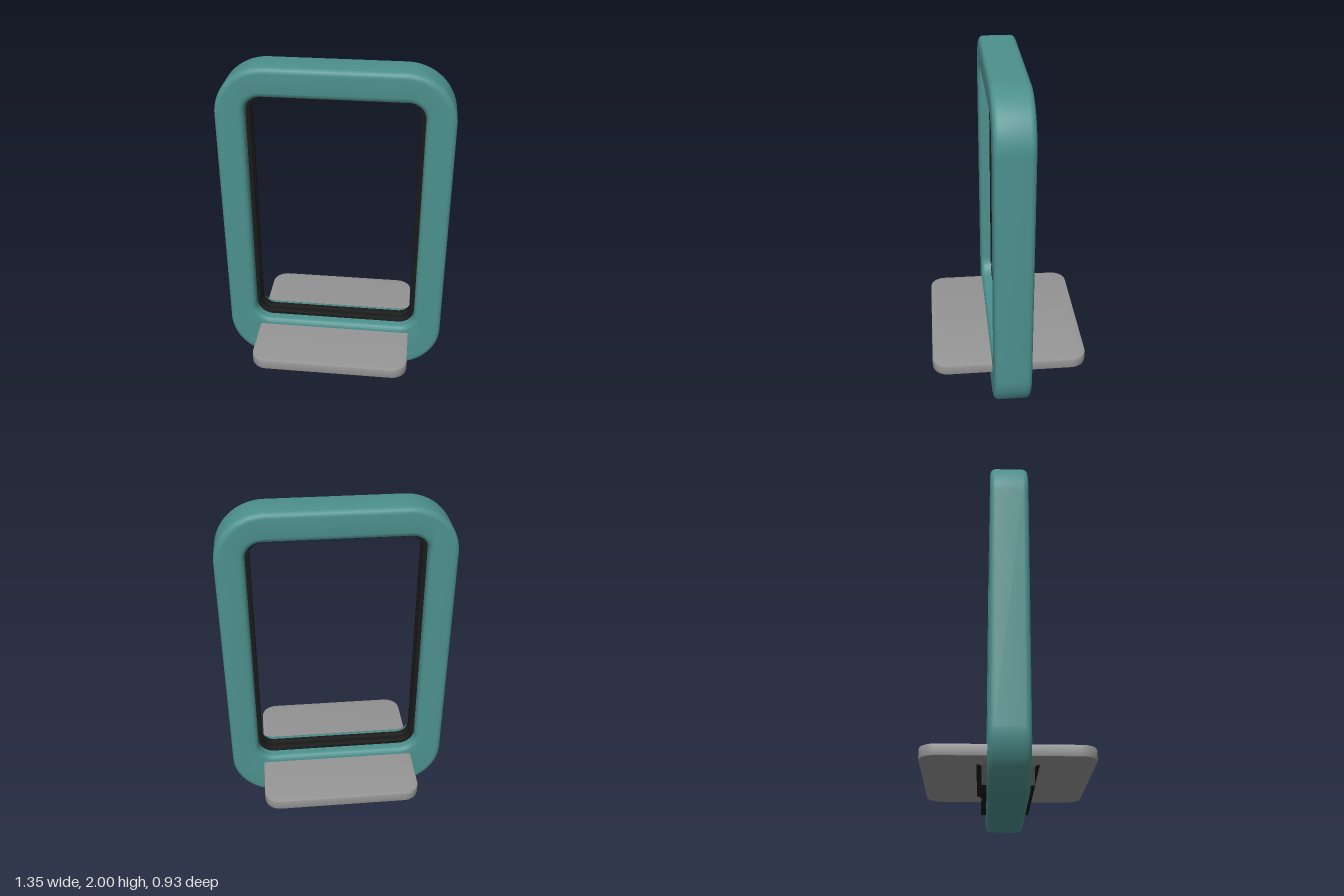
import * as THREE from 'three';
import { toCreasedNormals } from 'three/addons/utils/BufferGeometryUtils.js';

// Traces a rounded rectangle centred on (0, cy) into a Shape or Path
function roundedRect(path, halfW, halfH, r, cy = 0) {
  const arcs = [[1, 1, 0], [-1, 1, 1], [-1, -1, 2], [1, -1, 3]];
  for (const [sx, sy, q] of arcs) {
    path.absarc(sx * (halfW - r), cy + sy * (halfH - r), r, q * Math.PI / 2, (q + 1) * Math.PI / 2, false);
  }
  path.closePath();
  return path;
}

// Extrudes a shape to a total depth centred on z = 0, with rounded edges
function slab(shape, depth, bevel, segments = 4) {
  const geo = new THREE.ExtrudeGeometry(shape, {
    depth: depth - 2 * bevel, bevelEnabled: true, bevelThickness: bevel, bevelSize: bevel,
    bevelOffset: -bevel, bevelSegments: segments, curveSegments: 14,
  });
  geo.translate(0, 0, -depth / 2 + bevel);
  return toCreasedNormals(geo, 0.6);
}

export function createModel() {
  const group = new THREE.Group();
  const teal = new THREE.MeshStandardMaterial({ color: 0x4c908d });
  const grey = new THREE.MeshStandardMaterial({ color: 0x959595 });
  const black = new THREE.MeshStandardMaterial({ color: 0x1a1a1a });
  teal.name = 'teal';
  grey.name = 'grey';
  black.name = 'black';

  const add = (name, geo, mat) => {
    const mesh = new THREE.Mesh(geo, mat);
    mesh.name = name;
    group.add(mesh);
    return mesh;
  };

  // Thick frame with a rounded opening
  const frame = roundedRect(new THREE.Shape(), 0.674, 1, 0.29, 1);
  frame.holes.push(roundedRect(new THREE.Path(), 0.505, 0.762, 0.1, 1.065));
  add('frame', slab(frame, 0.22, 0.032, 5), teal);

  // Pair of seal ridges joined by a lower groove, lining the opening
  const ring = (halfW, halfH, r) => {
    const s = roundedRect(new THREE.Shape(), 0.515, 0.772, 0.11, 1.065);
    s.holes.push(roundedRect(new THREE.Path(), halfW, halfH, r, 1.065));
    return s;
  };
  for (const side of [1, -1]) {
    add(side > 0 ? 'frontSeal' : 'backSeal', slab(ring(0.48, 0.739, 0.078), 0.036, 0.004, 2), black)
      .position.z = side * 0.027;
  }
  add('sealGroove', slab(ring(0.492, 0.75, 0.088), 0.03, 0.002, 1), black);

  // Shelf passing through the bottom of the frame
  const shelf = slab(roundedRect(new THREE.Shape(), 0.477, 0.467, 0.095), 0.065, 0.006, 2);
  shelf.rotateX(-Math.PI / 2);
  add('shelf', shelf, grey).position.y = 0.2325;

  // Bracket under the shelf, flaring where it meets the shelf
  const profile = new THREE.Shape();
  profile.moveTo(-0.138, 0.088);
  profile.lineTo(0.142, 0.088);
  profile.lineTo(0.142, 0.185);
  profile.quadraticCurveTo(0.145, 0.197, 0.18, 0.202);
  profile.lineTo(-0.176, 0.202);
  profile.quadraticCurveTo(-0.141, 0.197, -0.138, 0.185);
  profile.closePath();
  const bracket = new THREE.ExtrudeGeometry(profile, { depth: 0.664, bevelEnabled: false, curveSegments: 5 });
  bracket.translate(0, 0, -0.332).rotateY(-Math.PI / 2);
  add('bracket', toCreasedNormals(bracket, 0.6), black);

  return group;
}
